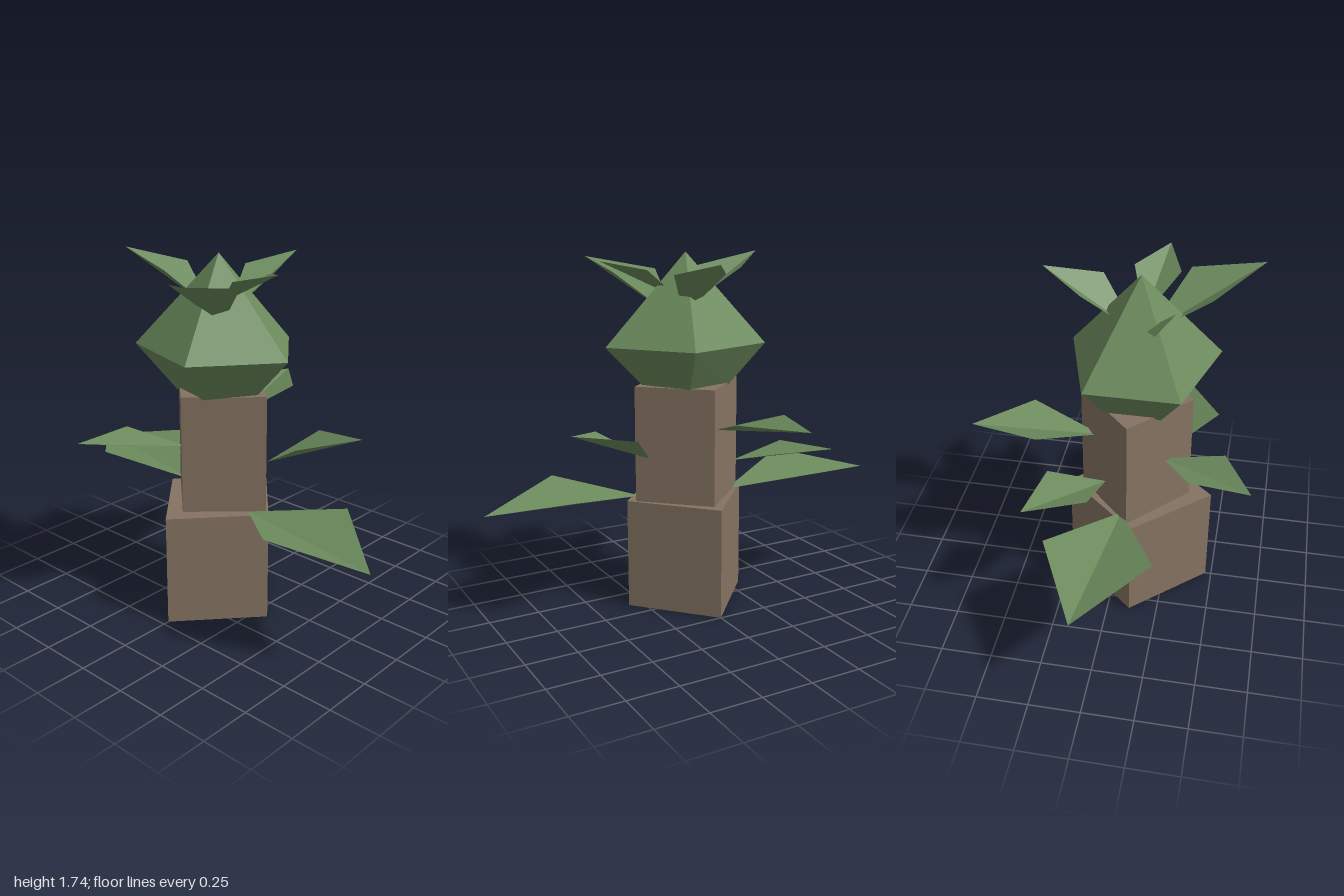
import * as THREE from 'three';
import { ConvexGeometry } from 'three/addons/geometries/ConvexGeometry.js';

const bark = new THREE.MeshStandardMaterial({ color: 0x857362, flatShading: true });
const green = new THREE.MeshStandardMaterial({ color: 0x6b8a5c, flatShading: true });
const leafGreen = new THREE.MeshStandardMaterial({ color: 0x6b8a5c, flatShading: true, side: THREE.DoubleSide });

function add(group, name, geometry, material) {
  const mesh = new THREE.Mesh(geometry, material);
  mesh.name = name;
  group.add(mesh);
  return mesh;
}

// Four-sided trunk block with a corner facing the front
function trunkBlock(group, name, halfX, halfZ, y0, y1, z) {
  const mesh = add(group, name, new THREE.CylinderGeometry(1, 1, y1 - y0, 4), bark);
  mesh.scale.set(halfX, 1, halfZ);
  mesh.position.set(0, (y0 + y1) / 2, z);
}

// Kite-shaped leaf of two triangles folded along the line from base to tip
function leaf(group, name, base, sideA, tip, sideB) {
  const geometry = new THREE.BufferGeometry();
  const corners = [base, sideA, tip, base, tip, sideB];
  // Order the corners so that the fronts of the faces look up
  const cross = (sideA[2] - base[2]) * (tip[0] - base[0]) - (sideA[0] - base[0]) * (tip[2] - base[2]);
  if (cross < 0) corners.reverse();
  geometry.setAttribute('position', new THREE.Float32BufferAttribute(corners.flat(), 3));
  geometry.computeVertexNormals();
  add(group, name, geometry, leafGreen);
}

export function createModel() {
  const model = new THREE.Group();
  model.name = 'plant';

  // Trunk
  trunkBlock(model, 'lowerTrunk', 0.323, 0.36, 0, 0.547, 0.11);
  trunkBlock(model, 'upperTrunk', 0.286, 0.27, 0.547, 1.117, 0.087);

  // Five-sided crown: apex, wide ring and small bottom ring
  const points = [new THREE.Vector3(0, 1.743, 0.1)];
  for (let i = 0; i < 5; i++) {
    const a = (i * Math.PI * 2) / 5;
    const x = Math.cos(a), z = Math.sin(a);
    points.push(new THREE.Vector3(0.01 + 0.412 * x, 1.31, 0.11 + 0.373 * z));
    points.push(new THREE.Vector3(0.02 + 0.22 * x, 1.105 + 0.015 * x, 0.1 + 0.21 * z));
  }
  add(model, 'crown', new ConvexGeometry(points), green);

  // Leaves: base, one side, tip, other side
  const trunkLeaves = new THREE.Group();
  trunkLeaves.name = 'trunkLeaves';
  [
    [[0.23, 0.55, 0.15], [0.58, 0.63, 0.45], [1, 0.535, 0.25], [0.66, 0.63, -0.05]],
    [[-0.21, 0.548, 0.05], [-0.585, 0.655, -0.25], [-1, 0.583, -0.04], [-0.655, 0.655, 0.27]],
    [[0.24, 0.77, 0.03], [0.48, 0.915, 0.115], [0.69, 0.96, -0.1], [0.395, 0.915, -0.168]],
    [[-0.06, 0.9, -0.08], [0.03, 1, -0.42], [-0.205, 0.99, -0.67], [-0.285, 1, -0.34]],
    [[-0.09, 0.82, 0.23], [-0.35, 0.9, 0.38], [-0.37, 0.885, 0.67], [-0.12, 0.9, 0.53]],
    [[-0.19, 0.72, -0.03], [-0.26, 0.8, -0.3], [-0.57, 0.8, -0.35], [-0.45, 0.8, -0.07]],
  ].forEach((p, i) => leaf(trunkLeaves, 'trunkLeaf' + (i + 1), ...p));

  const crownLeaves = new THREE.Group();
  crownLeaves.name = 'crownLeaves';
  [
    [[0.04, 1.42, 0.12], [0, 1.645, 0.42], [0.295, 1.705, 0.63], [0.3, 1.648, 0.29]],
    [[-0.02, 1.48, 0.12], [-0.27, 1.665, 0.03], [-0.483, 1.732, 0.23], [-0.17, 1.665, 0.28]],
    [[0.03, 1.52, 0.11], [0.22, 1.66, 0.25], [0.415, 1.705, 0.175], [0.24, 1.667, 0.03]],
    [[0.02, 1.44, 0.08], [0.17, 1.65, -0.1], [0.08, 1.707, -0.363], [-0.07, 1.65, -0.16]],
  ].forEach((p, i) => leaf(crownLeaves, 'crownLeaf' + (i + 1), ...p));

  model.add(trunkLeaves, crownLeaves);
  return model;
}
